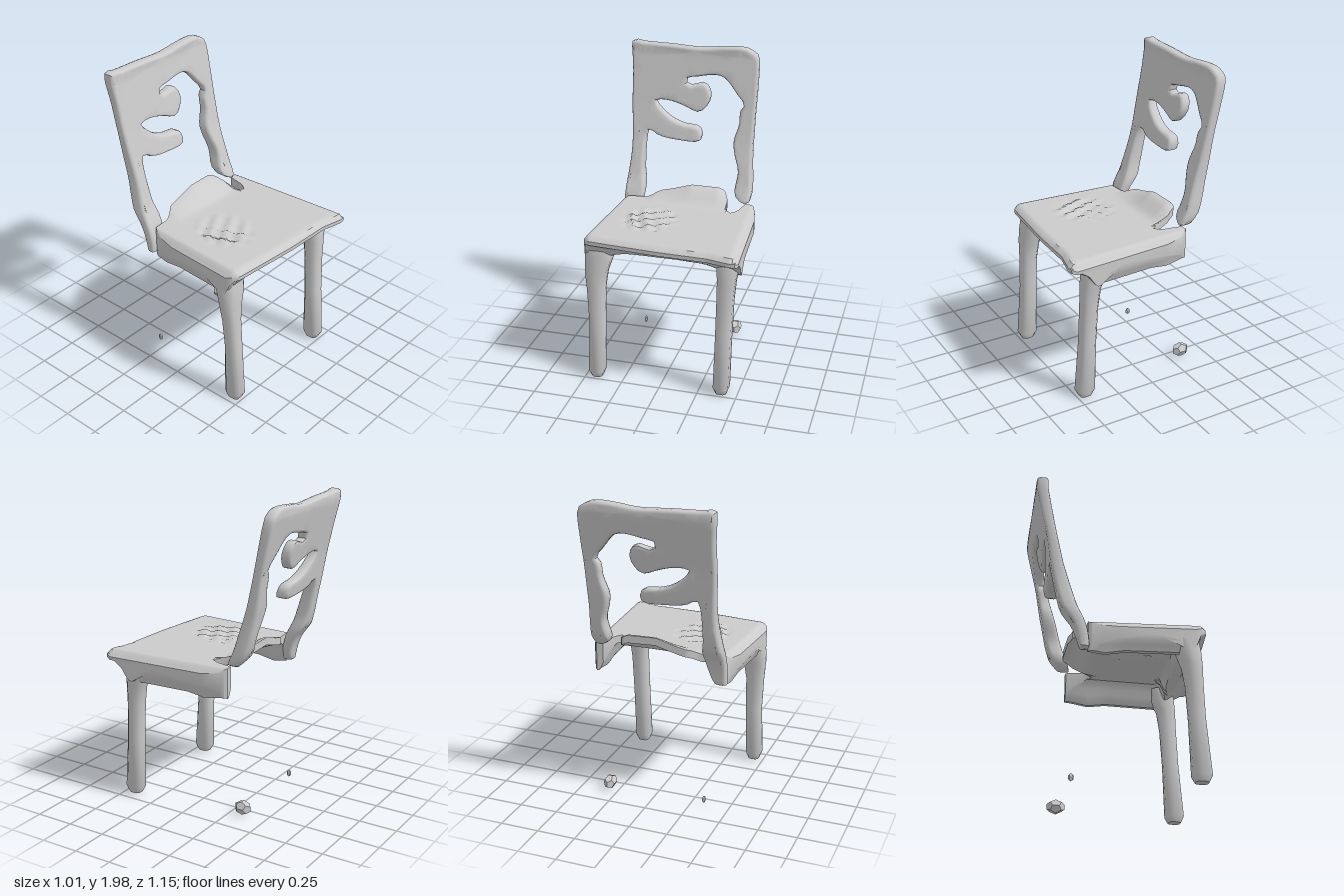
import * as THREE from 'three';
import { toCreasedNormals } from 'three/addons/utils/BufferGeometryUtils.js';

const material = new THREE.MeshStandardMaterial({ color: 0xcccccc, side: THREE.DoubleSide });
const { lerp, smoothstep } = THREE.MathUtils;

// Piecewise linear lookup in [[key, value], ...]
function lookup(table, k) {
  for (let i = 1; i < table.length; i++) {
    const [k0, v0] = table[i - 1], [k1, v1] = table[i];
    if (k <= k1) return lerp(v0, v1, Math.max(0, (k - k0) / (k1 - k0)));
  }
  return table[table.length - 1][1];
}

// Closed skin over a row of rings, each an array of [x, y, z]
function loft(rings) {
  const n = rings[0].length, pos = rings.flat(2), index = [];
  for (let i = 0; i < rings.length - 1; i++) {
    for (let j = 0; j < n; j++) {
      const k = (j + 1) % n, a = i * n + j, b = i * n + k, c = b + n, d = a + n;
      index.push(a, d, c, a, c, b);
    }
  }
  [0, rings.length - 1].forEach((r, end) => {
    const mid = [0, 1, 2].map(ax => rings[r].reduce((s, p) => s + p[ax], 0) / n);
    const m = pos.length / 3;
    pos.push(...mid);
    for (let j = 0; j < n; j++) {
      const a = r * n + j, b = r * n + (j + 1) % n;
      end ? index.push(m, b, a) : index.push(m, a, b);
    }
  });
  const g = new THREE.BufferGeometry();
  g.setAttribute('position', new THREE.Float32BufferAttribute(pos, 3));
  g.setIndex(index);
  return g;
}

// Splits long edges so that a flat face can be bent
function subdivide(geometry, maxEdge) {
  const p = geometry.attributes.position, out = [];
  const split = (a, b, c) => {
    const ab = a.distanceTo(b), bc = b.distanceTo(c), ca = c.distanceTo(a);
    if (Math.max(ab, bc, ca) <= maxEdge) return out.push(...a, ...b, ...c);
    if (bc > ab && bc >= ca) return split(b, c, a);
    if (ca > ab) return split(c, a, b);
    const m = a.clone().add(b).multiplyScalar(0.5);
    split(a, m, c);
    split(m, b, c);
  };
  const v = i => new THREE.Vector3().fromBufferAttribute(p, i);
  for (let i = 0; i < p.count; i += 3) split(v(i), v(i + 1), v(i + 2));
  const g = new THREE.BufferGeometry();
  return g.setAttribute('position', new THREE.Float32BufferAttribute(out, 3));
}

function part(name, geometry, crease) {
  const mesh = new THREE.Mesh(toCreasedNormals(geometry, crease), material);
  mesh.name = name;
  return mesh;
}

// Seat: thin worn sheet with tapering side walls, front arch, raised back lip and a notch
const seatBack = [[-0.49, -0.05], [-0.475, -0.17], [-0.45, -0.23], [-0.33, -0.24], [-0.28, -0.26], [-0.22, -0.3],
  [0, -0.31], [0.24, -0.32], [0.28, -0.24], [0.29, -0.15], [0.325, -0.11], [0.365, -0.16], [0.395, -0.28],
  [0.45, -0.285], [0.475, -0.24], [0.49, -0.12]];
const seatFront = [[-0.49, 0.42], [-0.475, 0.46], [-0.44, 0.49], [0, 0.53], [0.3, 0.54], [0.44, 0.575], [0.475, 0.57], [0.49, 0.54]];
const lip = [[-0.31, 0], [-0.25, 0.03], [-0.15, 0.05], [0, 0.09], [0.2, 0.085], [0.28, 0.05], [0.31, 0]];

function seatTop(x, z, zf) {
  const rise = lookup(lip, x) * smoothstep(-z, 0.14, 0.31);
  const wear = Math.max(0, 1 - ((x + 0.16) / 0.19) ** 2 - ((z - 0.11) / 0.21) ** 2);
  const rough = Math.min(1, wear * 2) * 0.012 * (Math.sin(x * 43 + z * 17) * Math.sin(z * 39 - x * 13) + 0.6 * Math.sin(x * 67 - z * 31));
  const edge = Math.max(0.045 * smoothstep(Math.abs(x), 0.45, 0.49), 0.03 * smoothstep(z, zf - 0.03, zf));
  return 1.005 + rise + rough - edge;
}

function seatBottom(x, z, zf) {
  const ax = Math.abs(x), top = seatTop(x, z, zf);
  const wallFoot = 0.812 - 0.02 * Math.max(0, 1 - Math.abs(z + 0.13) / 0.12);
  let y = lerp(top - 0.05, wallFoot, smoothstep(ax, 0.35, 0.435));
  y = lerp(y, 0.88, smoothstep(ax, 0.455, 0.49));
  const arch = Math.max(0.82, 0.915 - 0.6 * x * x);
  y = lerp(y, Math.min(y, arch), smoothstep(z, 0.33, 0.38));
  const overhang = lerp(0.89, 0.95, smoothstep(z, 0.42, zf));
  y = lerp(y, overhang, smoothstep(z, 0.39, 0.46));
  return Math.min(top - 0.02, y);
}

function seat() {
  const rings = [], cols = 64, rows = 36;
  for (let i = 0; i <= cols; i++) {
    const x = -0.49 + 0.98 * i / cols;
    const zb = lookup(seatBack, x), zf = lookup(seatFront, x), top = [], bottom = [];
    for (let j = 0; j <= rows; j++) {
      const z = lerp(zb, zf, j / rows), px = x * (0.965 + 0.13 * z);
      top.unshift([px, seatTop(x, z, zf), z]);
      bottom.push([px, seatBottom(x, z, zf), z]);
    }
    rings.push([...top, ...bottom]);
  }
  return part('seat', loft(rings), 0.7);
}

// Leg from levels of [y, x, z, half width, half depth]
function leg(name, levels) {
  const rings = levels.map(([y, x, z, rx, rz]) => Array.from({ length: 12 }, (_, k) => {
    const a = k / 12 * Math.PI * 2, c = Math.cos(a), s = Math.sin(a);
    const q = 1 / Math.pow(c ** 4 + s ** 4, 0.25);
    return [x + rx * c * q, y, z + rz * s * q];
  }));
  return part(name, loft(rings), 0.9);
}

// Back frame: one outline with both posts, top rail and two broken slats
const outline = [[-0.45, 0.83], [-0.455, 1.05], [-0.435, 1.3], [-0.45, 1.6], [-0.455, 1.8], [-0.468, 1.96],
  [-0.45, 1.995], [-0.38, 1.985], [-0.2, 1.98], [0, 1.97], [0.15, 1.985], [0.27, 1.99], [0.34, 1.97], [0.385, 1.92],
  [0.39, 1.75], [0.385, 1.5], [0.385, 1.3], [0.4, 1.1], [0.395, 1.03], [0.37, 1.005], [0.29, 1.06], [0.3, 1.2],
  [0.27, 1.3], [0.255, 1.39], [0.285, 1.5], [0.285, 1.58], [0.31, 1.63], [0.26, 1.69], [0.22, 1.74], [0.17, 1.79],
  [0.1, 1.805], [-0.02, 1.785], [-0.08, 1.775], [-0.09, 1.74], [-0.05, 1.725], [0.03, 1.745], [0.075, 1.7],
  [0.075, 1.63], [0.01, 1.56], [-0.1, 1.595], [-0.2, 1.62], [-0.29, 1.61], [-0.2, 1.52], [-0.1, 1.475], [0.018, 1.455],
  [0.02, 1.37], [-0.15, 1.37], [-0.25, 1.385], [-0.335, 1.41], [-0.345, 1.18], [-0.325, 1.05], [-0.34, 0.93], [-0.38, 0.83]];
const lean = [[0.82, -0.25], [0.92, -0.265], [1, -0.29], [1.1, -0.352], [1.2, -0.38], [1.4, -0.43], [1.6, -0.468],
  [1.8, -0.51], [1.93, -0.537], [2, -0.535]];
const depth = [[0.85, 0.06], [1, 0.075], [1.08, 0.1], [1.2, 0.1], [1.4, 0.08], [1.6, 0.065], [1.8, 0.07], [2, 0.075]];

function backFrame() {
  const pts = [...outline, outline[0]].map(p => new THREE.Vector2(...p));
  const shape = new THREE.Shape(new THREE.SplineCurve(pts).getSpacedPoints(170).slice(0, -1));
  const g = subdivide(new THREE.ExtrudeGeometry(shape, {
    depth: 0.04, steps: 1, bevelEnabled: true, bevelThickness: 0.02, bevelSize: 0.018, bevelOffset: -0.018, bevelSegments: 2,
  }), 0.06);
  const p = g.attributes.position;
  for (let i = 0; i < p.count; i++) {
    const y = p.getY(i);
    p.setZ(i, lookup(lean, y) + (p.getZ(i) - 0.02) / 0.08 * lookup(depth, y));
  }
  return part('backFrame', g, 0.9);
}

// Loose fragment of a missing rear leg
function fragment(name, pos, size) {
  const mesh = part(name, new THREE.DodecahedronGeometry(1), 0.1);
  mesh.position.set(...pos);
  mesh.scale.set(...size);
  return mesh;
}

export function createModel() {
  const group = new THREE.Group();
  group.name = 'brokenChair';
  group.add(
    seat(),
    backFrame(),
    leg('frontRightLeg', [[0.01, -0.43, 0.44, 0.035, 0.04], [0.05, -0.43, 0.44, 0.05, 0.06], [0.4, -0.425, 0.422, 0.05, 0.05],
      [0.62, -0.432, 0.41, 0.056, 0.052], [0.74, -0.43, 0.4, 0.07, 0.06], [0.83, -0.415, 0.385, 0.085, 0.07], [0.93, -0.41, 0.37, 0.085, 0.07]]),
    leg('frontLeftLeg', [[0.01, 0.395, 0.44, 0.035, 0.04], [0.05, 0.395, 0.44, 0.05, 0.06], [0.4, 0.4, 0.422, 0.05, 0.05],
      [0.65, 0.405, 0.41, 0.052, 0.052], [0.78, 0.41, 0.4, 0.057, 0.06], [0.85, 0.415, 0.38, 0.068, 0.075], [0.93, 0.41, 0.37, 0.07, 0.07]]),
    fragment('largeFragment', [0.312, 0.058, -0.335], [0.041, 0.047, 0.06]),
    fragment('smallFragment', [-0.33, 0.04, -0.31], [0.01, 0.026, 0.018]),
  );
  return group;
}
